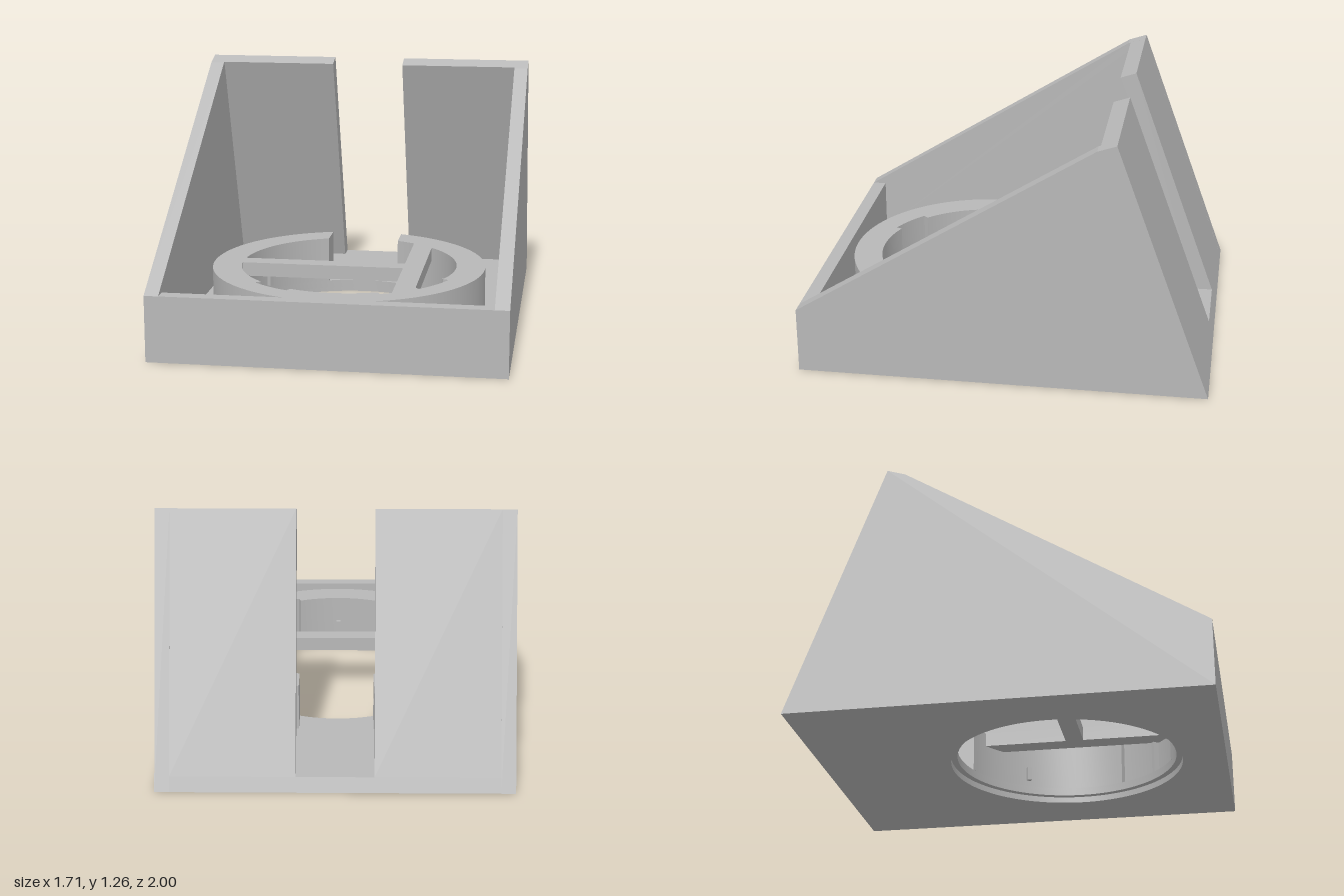
import * as THREE from 'three';
import { toCreasedNormals } from 'three/addons/utils/BufferGeometryUtils.js';

const CZ = 0.21;      // ring centre along z
const R_IN = 0.545, R_NOTCH = 0.576, R_OUT = 0.69;
const FLOOR = 0.07, RING_TOP = 0.305;
const X_OUT = 0.855, X_IN = 0.785, SLOT = 0.187;

export function createModel() {
  const group = new THREE.Group();
  const grey = new THREE.MeshStandardMaterial({ color: 0xb8b8b8 });
  grey.name = 'light grey';

  const add = (name, geometry) => {
    const mesh = new THREE.Mesh(geometry, grey);
    mesh.name = name;
    group.add(mesh);
    return mesh;
  };

  // Side profile given as [z, y] points, extruded from x0 to x1
  const slab = (name, points, x0, x1) => {
    const shape = new THREE.Shape(points.map(([z, y]) => new THREE.Vector2(z, y)));
    const g = new THREE.ExtrudeGeometry(shape, { depth: x1 - x0, bevelEnabled: false });
    g.rotateY(-Math.PI / 2).translate(x1, 0, 0);
    add(name, g);
  };

  // Plan shape (x, -z) raised from y0 to y1
  const layer = (name, shape, y0, y1) => {
    const g = new THREE.ExtrudeGeometry(shape, { depth: y1 - y0, bevelEnabled: false, curveSegments: 48 });
    g.rotateX(-Math.PI / 2).translate(0, y0, 0);
    add(name, toCreasedNormals(g, 0.4));
  };

  const box = (name, x0, x1, y0, y1, z0, z1) => {
    const g = new THREE.BoxGeometry(x1 - x0, y1 - y0, z1 - z0);
    g.translate((x0 + x1) / 2, (y0 + y1) / 2, (z0 + z1) / 2);
    return add(name, g);
  };

  // Floor with a stepped round opening: wider at the underside
  const floorLayer = (name, radius, y0, y1) => {
    const s = new THREE.Shape([
      new THREE.Vector2(-X_IN, -1), new THREE.Vector2(X_IN, -1),
      new THREE.Vector2(X_IN, 0.974), new THREE.Vector2(-X_IN, 0.974),
    ]);
    const hole = new THREE.Path();
    hole.absarc(0, -CZ, radius, 0, Math.PI * 2, true);
    s.holes.push(hole);
    layer(name, s, y0, y1);
  };
  floorLayer('floorUnderside', R_NOTCH, 0, 0.03);
  floorLayer('floor', R_IN, 0.03, FLOOR);
  slab('floorBackEdge', [[-0.974, 0], [-0.974, FLOOR], [-1, 0]], -X_IN, X_IN);

  // Sloped side walls and the two back panels either side of the slot
  const side = [[1, 0], [1, 0.325], [-0.45, 1.23], [-0.54, 1.26], [-1, 0]];
  const back = [[-0.883, FLOOR], [-0.46, 1.233], [-0.54, 1.26], [-0.974, FLOOR]];
  slab('leftWall', side, X_IN, X_OUT);
  slab('rightWall', side, -X_OUT, -X_IN);
  slab('leftBackPanel', back, SLOT, X_IN);
  slab('rightBackPanel', back, -X_IN, -SLOT);

  box('frontWall', -X_IN, X_IN, FLOOR, 0.325, 0.932, 1);

  // Raised holder ring, open at the back, with shallow notches inside
  const notches = [[-134, -113], [-67, -48], [-46, -24]].map(n => n.map(THREE.MathUtils.degToRad));
  const points = [];
  const at = (r, a) => points.push(new THREE.Vector2(r * Math.cos(a), r * Math.sin(a) - CZ));
  const arc = (r, a0, a1) => {
    const n = Math.max(2, Math.ceil(Math.abs(a1 - a0) / 0.06));
    for (let i = 0; i <= n; i++) at(r, a0 + (a1 - a0) * i / n);
  };
  const outGap = Math.asin(SLOT / R_OUT), inGap = Math.asin(SLOT / R_IN);
  arc(R_OUT, -1.5 * Math.PI + outGap, Math.PI / 2 - outGap);
  let angle = Math.PI / 2 - inGap;
  for (const [a, b] of [...notches].reverse()) {
    arc(R_IN, angle, b);
    arc(R_NOTCH, b, a);
    angle = a;
  }
  arc(R_IN, angle, -1.5 * Math.PI + inGap);
  layer('holderRing', new THREE.Shape(points), FLOOR, RING_TOP);

  // Bars bridging the ring
  box('longBar', 0.28, 0.382, 0.235, RING_TOP, CZ - 0.51, CZ + 0.51);
  box('crossBar', -0.6, 0.28, 0.235, RING_TOP, 0.165, 0.257);

  // Three small locating nubs on the inside of the ring
  for (let i = 0; i < 3; i++) {
    const a = Math.PI / 2 + i * Math.PI * 2 / 3;
    const nub = box('locatingNub', -0.012, 0.012, -0.035, 0.035, -0.012, 0.012);
    nub.position.set(0.537 * Math.cos(a), 0.135, CZ + 0.537 * Math.sin(a));
    nub.rotation.y = Math.PI / 2 - a;
  }
  return group;
}
